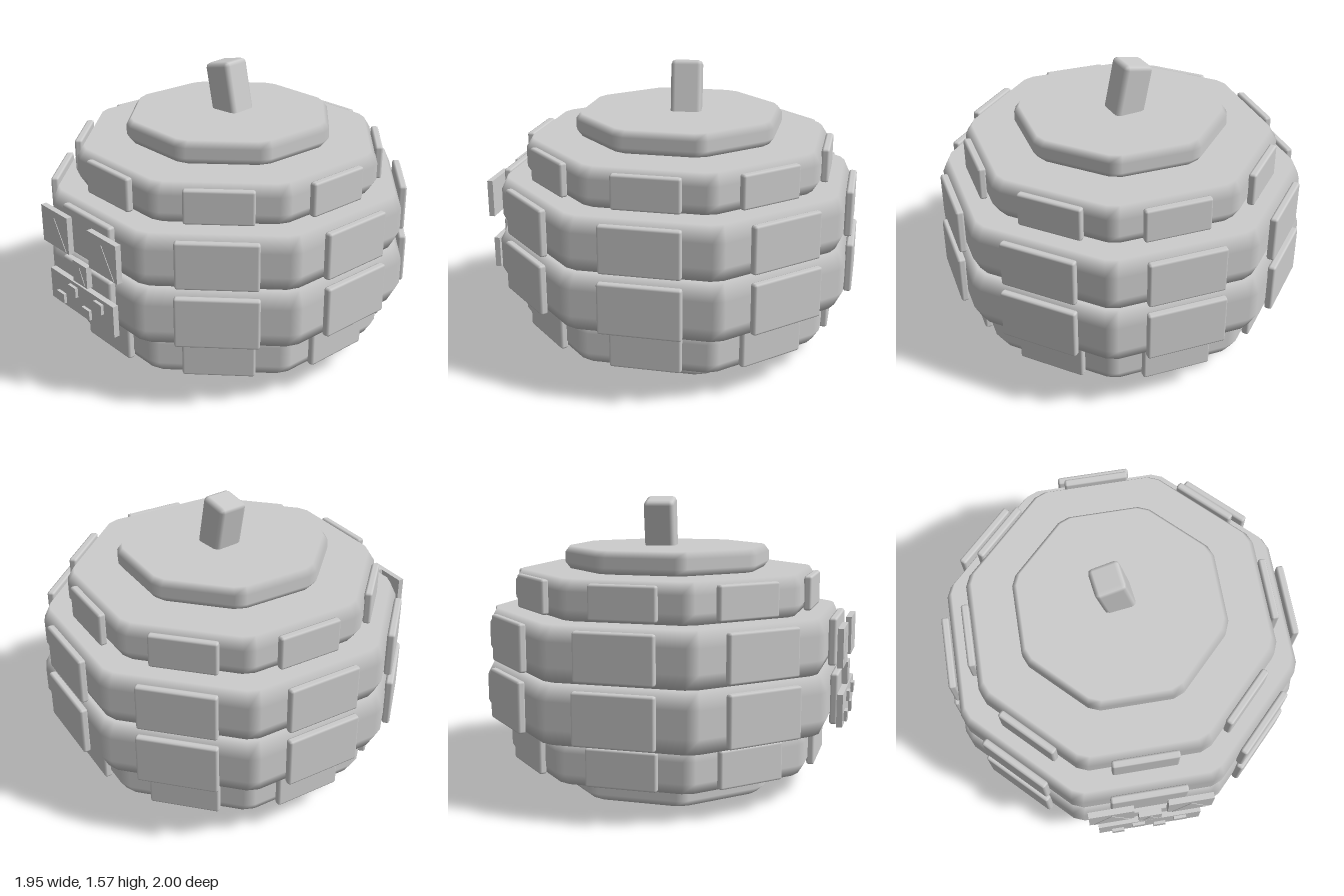
import * as THREE from 'three';
import { RoundedBoxGeometry } from 'three/addons/geometries/RoundedBoxGeometry.js';

const CZ = -0.025; // body axis

// Octagonal slab with chamfered rims and corners; shading blends only across the chamfers.
function slabGeometry(apothem, height, inset, bevel, cut) {
  const pos = [], nor = [], idx = [];
  const levels = [
    { y: 0, a: apothem - inset, ny: -1 },
    { y: bevel, a: apothem, ny: 0 },
    { y: height - bevel, a: apothem, ny: 0 },
    { y: height, a: apothem - inset, ny: 1 },
  ];
  for (const { y, a, ny } of levels) {
    const half = a * Math.tan(Math.PI / 8) - cut;
    for (let k = 0; k < 8; k++) {
      const s = Math.sin(k * Math.PI / 4), c = Math.cos(k * Math.PI / 4);
      for (const t of [-half, half]) {
        pos.push(a * s + t * c, y, a * c - t * s);
        nor.push(ny ? 0 : s, ny, ny ? 0 : c);
      }
    }
  }
  for (let r = 0; r < 3; r++) {
    for (let i = 0; i < 16; i++) {
      const j = (i + 1) % 16, b = r * 16, t = b + 16;
      idx.push(b + i, b + j, t + j, b + i, t + j, t + i);
    }
  }
  for (let i = 1; i < 15; i++) {
    idx.push(0, i + 1, i, 48, 48 + i, 48 + i + 1);
  }
  const g = new THREE.BufferGeometry();
  g.setAttribute('position', new THREE.Float32BufferAttribute(pos, 3));
  g.setAttribute('normal', new THREE.Float32BufferAttribute(nor, 3));
  g.setIndex(idx);
  return g;
}

// Upright triangle prism from its base line
function triangleGeometry(halfWidth, height, depth) {
  const s = new THREE.Shape();
  s.moveTo(-halfWidth, 0);
  s.lineTo(halfWidth, 0);
  s.lineTo(0, height);
  return new THREE.ExtrudeGeometry(s, { depth, bevelEnabled: false });
}

export function createModel() {
  const group = new THREE.Group();
  const grey = new THREE.MeshStandardMaterial({ color: 0xcccccc });
  grey.name = 'plain grey';

  const add = (name, geometry, x, y, z, parent = group) => {
    const m = new THREE.Mesh(geometry, grey);
    m.name = name;
    m.position.set(x, y, z);
    parent.add(m);
    return m;
  };

  // Stacked body layers, the middle four ringed with eight panels each
  const layers = [
    { name: 'baseLayer', y0: 0, y1: 0.15, r: 0.594, inset: 0.04, bevel: 0.04 },
    { name: 'lowerLayer', y0: 0.15, y1: 0.38, r: 0.823, inset: 0.035, bevel: 0.06, panel: [0.857, 0.37, 0.165, 0.365] },
    { name: 'lowerMiddleLayer', y0: 0.38, y1: 0.69, r: 0.936, inset: 0.04, bevel: 0.085, panel: [0.975, 0.42, 0.4, 0.67] },
    { name: 'upperMiddleLayer', y0: 0.69, y1: 0.975, r: 0.918, inset: 0.035, bevel: 0.08, panel: [0.96, 0.41, 0.71, 0.96] },
    { name: 'upperLayer', y0: 0.975, y1: 1.185, r: 0.785, inset: 0.035, bevel: 0.06, panel: [0.823, 0.35, 0.99, 1.17] },
    { name: 'topLayer', y0: 1.185, y1: 1.307, r: 0.534, inset: 0.025, bevel: 0.035 },
  ];
  for (const l of layers) {
    add(l.name, slabGeometry(l.r, l.y1 - l.y0, l.inset, l.bevel, 0.035), 0, l.y0, CZ);
    if (!l.panel) continue;
    const [outer, width, y0, y1] = l.panel;
    const geometry = new RoundedBoxGeometry(width, y1 - y0, 0.042, 1, 0.013);
    const ring = new THREE.Group();
    ring.name = l.name + 'Panels';
    ring.position.z = CZ;
    group.add(ring);
    for (let k = 0; k < 8; k++) {
      const a = k * Math.PI / 4, d = outer - 0.021;
      add('panel', geometry, d * Math.sin(a), (y0 + y1) / 2, d * Math.cos(a), ring).rotation.y = a;
    }
  }

  // Face plates
  const plate = (name, x0, x1, y0, y1, z0, z1) =>
    add(name, new THREE.BoxGeometry(x1 - x0, y1 - y0, z1 - z0), (x0 + x1) / 2, (y0 + y1) / 2, (z0 + z1) / 2);
  const Z0 = 0.953, Z1 = 0.984;
  for (const s of [-1, 1]) {
    plate(s > 0 ? 'leftEyePlate' : 'rightEyePlate', s * 0.21 - 0.12, s * 0.21 + 0.12, 0.724, 0.927, Z0, Z1);
    add(s > 0 ? 'leftEye' : 'rightEye', triangleGeometry(0.097, 0.16, 0.03), s * 0.21, 0.73, 0.957);
  }
  plate('nosePlate', -0.062, 0.062, 0.589, 0.708, Z0, Z1);
  add('nose', triangleGeometry(0.043, 0.085, 0.03), 0, 0.6, 0.957);
  plate('mouthPlate', -0.283, 0.283, 0.406, 0.578, Z0, Z1);
  for (const [x, y] of [[-0.063, 0.531], [0.167, 0.531], [-0.178, 0.45], [0.055, 0.45]]) {
    plate('tooth', x - 0.034, x + 0.034, y - 0.027, y + 0.027, 0.97, 1.0);
  }

  // Leaning stem
  const stem = add('stem', new RoundedBoxGeometry(0.165, 0.32, 0.165, 1, 0.025), -0.03, 1.405, -0.055);
  stem.rotation.set(0, 0.13, 0.2);

  return group;
}
